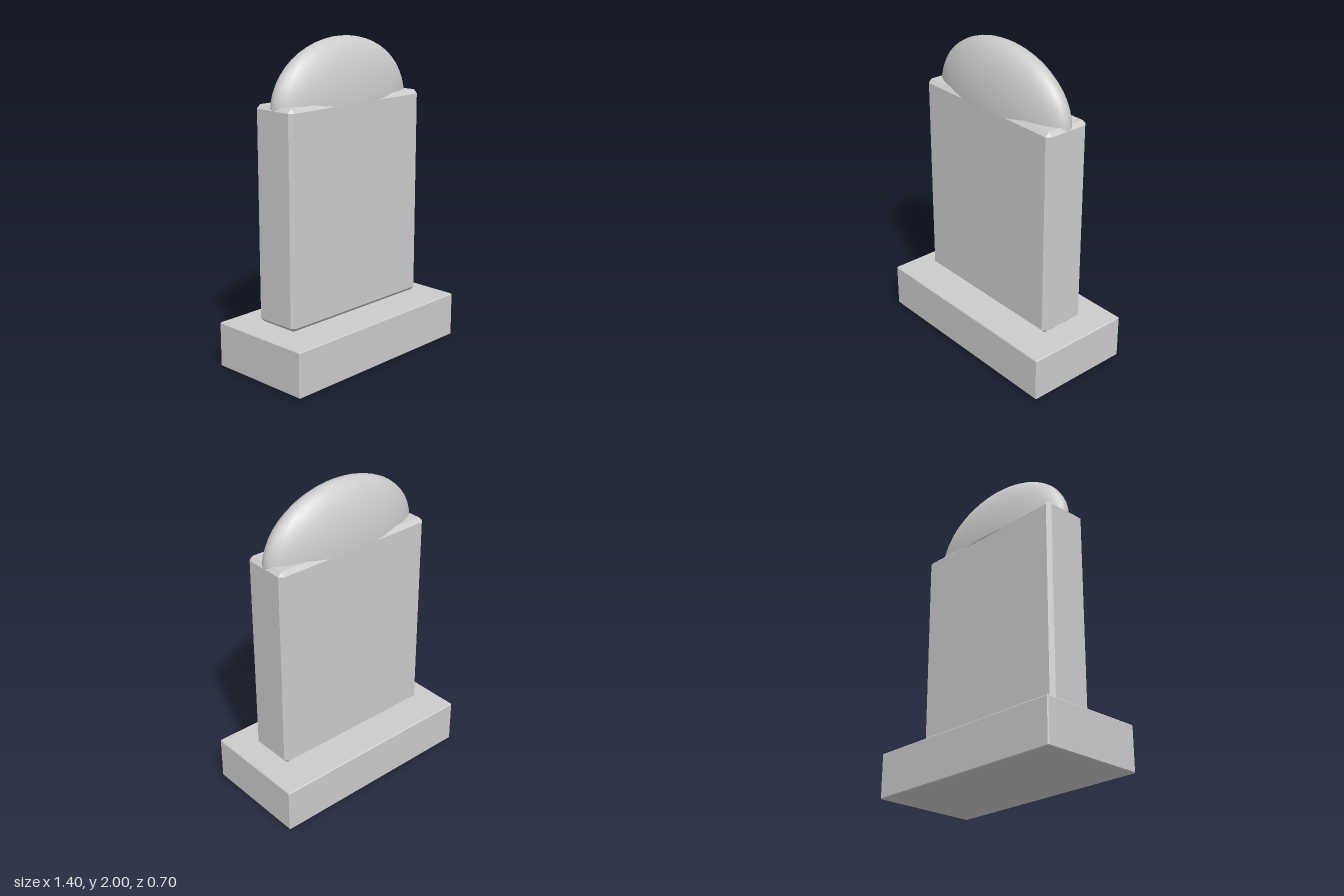
import * as THREE from 'three';
import { ConvexGeometry } from 'three/addons/geometries/ConvexGeometry.js';

const stone = new THREE.MeshStandardMaterial({ color: 0xcccccc });

// Box with chamfered edges; skew shifts z along x for a hand-cut look
function chamferedBox(w, y0, y1, d, c, skew = 0) {
  const points = [];
  const h = (y1 - y0) / 2, mid = (y0 + y1) / 2;
  for (const sx of [-1, 1]) for (const sy of [-1, 1]) for (const sz of [-1, 1]) {
    for (let axis = 0; axis < 3; axis++) {
      const inset = [c, c, c];
      inset[axis] = 0;
      const x = sx * (w / 2 - inset[0]);
      points.push(new THREE.Vector3(x, mid + sy * (h - inset[1]), sz * (d / 2 - inset[2]) + skew * x));
    }
  }
  return new ConvexGeometry(points);
}

export function createModel() {
  const model = new THREE.Group();
  model.name = 'gravestone';
  const add = (name, geometry) => {
    const mesh = new THREE.Mesh(geometry, stone);
    mesh.name = name;
    model.add(mesh);
    return mesh;
  };

  // Plinth and upright slab, with a narrow gap between them
  add('base', chamferedBox(1.4, 0, 0.285, 0.7, 0.006));
  add('slab', chamferedBox(1.112, 0.305, 1.635, 0.307, 0.024, 0.006));

  // Flattened half dome sunk into the slab's top
  const dome = new THREE.SphereGeometry(1, 32, 12, 0, Math.PI * 2, 0, Math.PI / 2);
  dome.scale(0.558, 0.4, 0.163);
  dome.translate(0, 1.6, 0);
  add('domedTop', dome);

  // Underside of the dome
  const cap = new THREE.CircleGeometry(1, 32);
  cap.rotateX(Math.PI / 2);
  cap.scale(0.558, 1, 0.163);
  cap.translate(0, 1.6, 0);
  add('domeUnderside', cap);

  return model;
}
